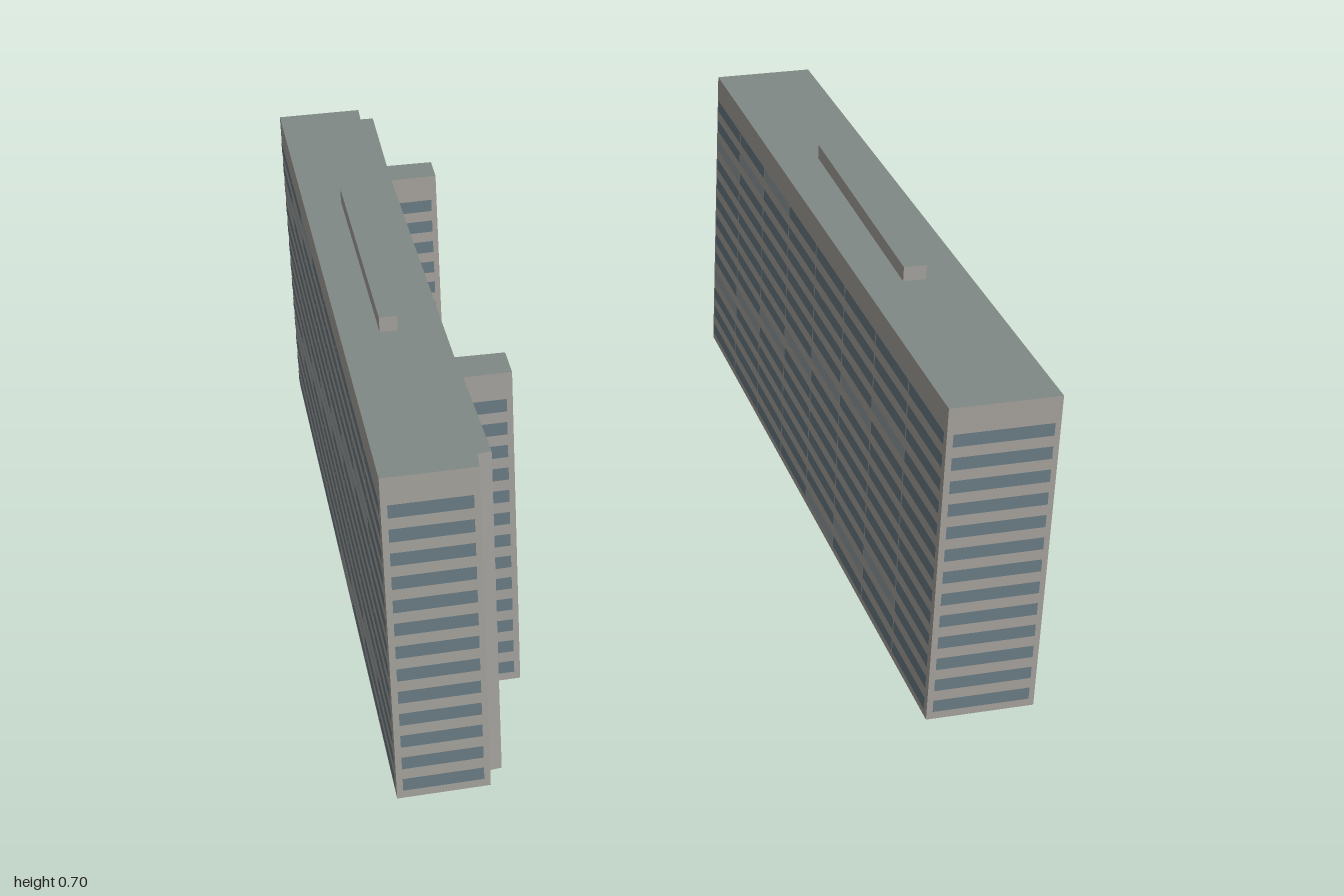
import * as THREE from 'three';
import { mergeGeometries } from 'three/addons/utils/BufferGeometryUtils.js';

const HEIGHT = 0.675, ROWS = 13, FLOOR = 0.0482;

const paint = (color, extra = {}) => new THREE.MeshStandardMaterial({ color, ...extra });
const wall = paint(0xa9a6a1);
const roof = paint(0x808985);
const glass = paint(0x6c7f87);
const paleGlass = paint(0x939fa3);

// Prism over a plan outline of [x, z] points: walls and underside in one colour, roof in another
function prism(name, plan, base, height) {
  const shape = new THREE.Shape(plan.map(([x, z]) => new THREE.Vector2(x, -z)));
  const geo = new THREE.ExtrudeGeometry(shape, { depth: height, bevelEnabled: false });
  const caps = geo.groups[0].count, sides = geo.groups[1].count;
  geo.clearGroups();
  geo.addGroup(0, caps / 2, 0);
  geo.addGroup(caps / 2, caps / 2, 1);
  geo.addGroup(caps, sides, 0);
  geo.rotateX(-Math.PI / 2).translate(0, base, 0);
  const mesh = new THREE.Mesh(geo, [wall, roof]);
  mesh.name = name;
  return mesh;
}

// Rows of window strips on the wall from a to b, one strip per bay and floor
function addWindows(a, b, bays, dark, pale) {
  const dx = b[0] - a[0], dz = b[1] - a[1], length = Math.hypot(dx, dz);
  const margin = 0.009, bay = (length - 2 * margin) / bays;
  for (let row = 0; row < ROWS; row++) {
    for (let i = 0; i < bays; i++) {
      const strip = new THREE.PlaneGeometry(bay - 0.005, 0.026);
      strip.translate(margin + (i + 0.5) * bay, 0.03 + (ROWS - 1 - row) * FLOOR, 0.0015);
      strip.rotateY(-Math.atan2(dz, dx)).translate(a[0], 0, a[1]);
      // One paler bay per floor steps diagonally across the long walls
      const isPale = bays > 1 && i === (9 - row + 7) % 7;
      (isPale ? pale : dark).push(strip);
    }
  }
}

// Slab block: bays[i] is the window count on the wall from plan[i] to plan[i + 1]
function block(name, plan, bays, plantRoom) {
  const group = new THREE.Group();
  group.name = name;
  group.add(prism('walls', plan, 0, HEIGHT));
  group.add(prism('rooftopPlantRoom', plantRoom, HEIGHT, 0.03));
  const dark = [], pale = [];
  plan.forEach((p, i) => {
    if (bays[i]) addWindows(p, plan[(i + 1) % plan.length], bays[i], dark, pale);
  });
  for (const [label, list, material] of [['windows', dark, glass], ['paleWindows', pale, paleGlass]]) {
    const mesh = new THREE.Mesh(mergeGeometries(list), material);
    mesh.name = label;
    group.add(mesh);
  }
  return group;
}

export function createModel() {
  const model = new THREE.Group();
  model.name = 'officeBlocks';

  // Plain rectangular slab
  model.add(block('plainSlab',
    [[0, -1], [-0.17, -0.87], [0.79, 0.37], [0.96, 0.24]],
    [1, 8, 1, 8],
    [[0.2, -0.54], [0.555, -0.065], [0.592, -0.092], [0.236, -0.563]]));

  // Slab with two stair towers and notched ends on its inner side
  model.add(block('towerSlab',
    [[-0.96, -0.25], [0, 0.99], [0.135, 0.885], [0.112, 0.85], [0.13, 0.832],
      [-0.035, 0.625], [0.035, 0.57], [-0.01, 0.51], [-0.085, 0.565],
      [-0.57, -0.06], [-0.498, -0.12], [-0.54, -0.177], [-0.615, -0.12],
      [-0.77, -0.33], [-0.792, -0.314], [-0.823, -0.358]],
    [8, 1, 0, 0, 1, 1, 1, 1, 5, 1, 1, 1, 1, 0, 0, 1],
    [[-0.612, 0.075], [-0.257, 0.537], [-0.23, 0.517], [-0.583, 0.055]]));

  return model;
}
